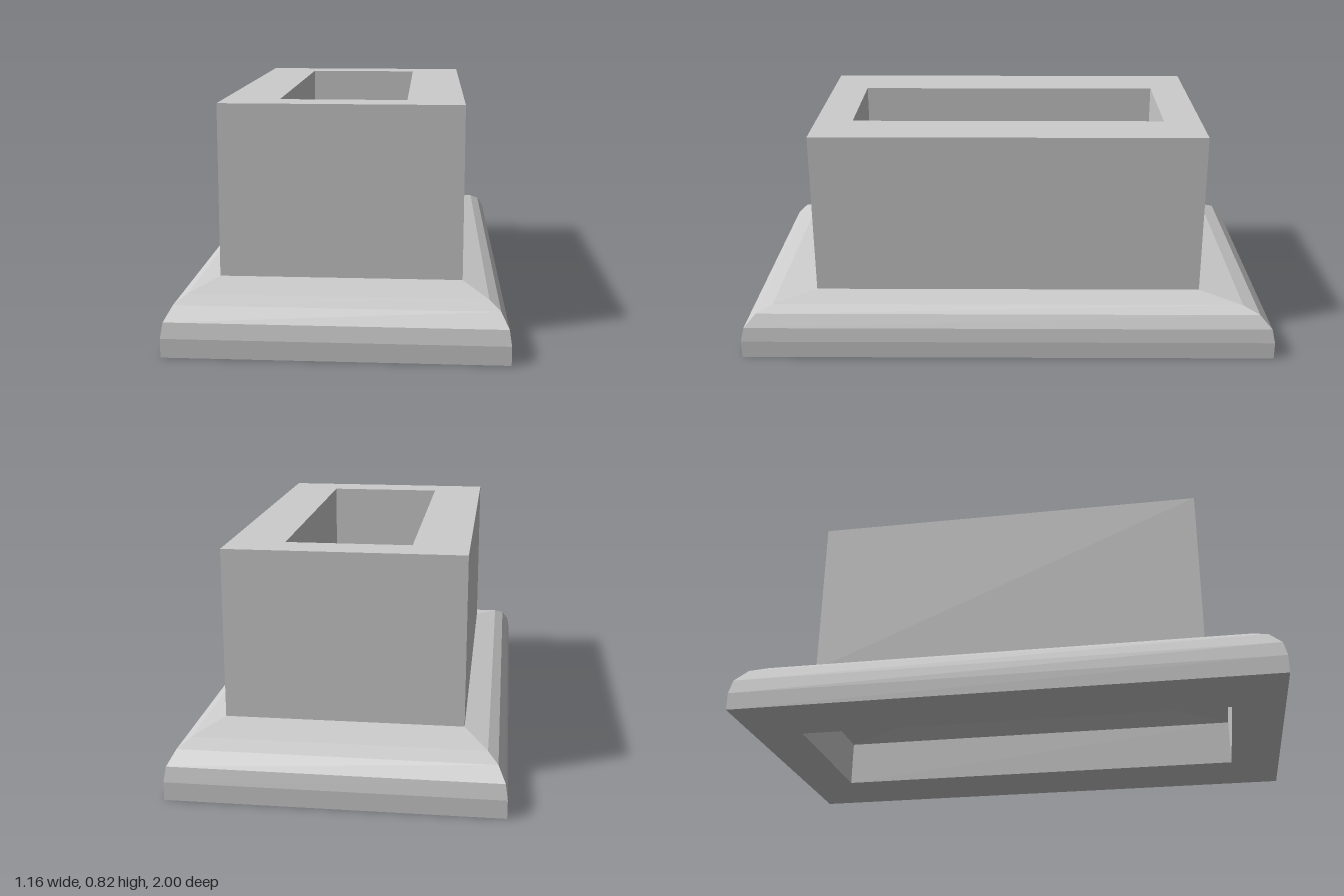
import * as THREE from 'three';

// Skins a run of rectangular rings, each given as [half width, half depth, y].
function ringSkin(rings) {
  const signs = [[1, 1], [1, -1], [-1, -1], [-1, 1]];
  const corner = ([w, d, y], k) => {
    const [sx, sz] = signs[k % 4];
    return [w * sx, y, d * sz];
  };
  const positions = [];
  for (let i = 0; i < rings.length - 1; i++) {
    for (let k = 0; k < 4; k++) {
      const a = corner(rings[i], k), b = corner(rings[i], k + 1);
      const c = corner(rings[i + 1], k + 1), d = corner(rings[i + 1], k);
      positions.push(...a, ...b, ...c, ...a, ...c, ...d);
    }
  }
  const geometry = new THREE.BufferGeometry();
  geometry.setAttribute('position', new THREE.Float32BufferAttribute(positions, 3));
  geometry.computeVertexNormals(); // unshared corners keep every facet flat
  return geometry;
}

export function createModel() {
  const group = new THREE.Group();
  group.name = 'hollowPlinth';
  const grey = new THREE.MeshStandardMaterial({ color: 0xcccccc });
  grey.name = 'lightGrey';

  const add = (name, rings) => {
    const mesh = new THREE.Mesh(ringSkin(rings), grey);
    mesh.name = name;
    group.add(mesh);
  };

  const foot = [0.58, 1, 0];
  const footHole = [0.303, 0.81, 0];
  const neck = [0.425, 0.73, 0.21];
  const shaftHole = [0.225, 0.59, 0.82];

  // Flat underside and rounded skirt
  add('baseMoulding', [
    footHole, foot,
    [0.58, 1, 0.065],
    [0.572, 0.988, 0.118],
    [0.546, 0.944, 0.165],
    [0.51, 0.885, 0.188],
    neck,
  ]);

  // Upright walls and top rim
  add('shaft', [neck, [0.425, 0.73, 0.82], shaftHole]);

  // Through opening, flaring out to a wider recess below
  add('opening', [
    shaftHole,
    [0.225, 0.59, 0.215],
    [0.303, 0.81, 0.175],
    footHole,
  ]);

  return group;
}
